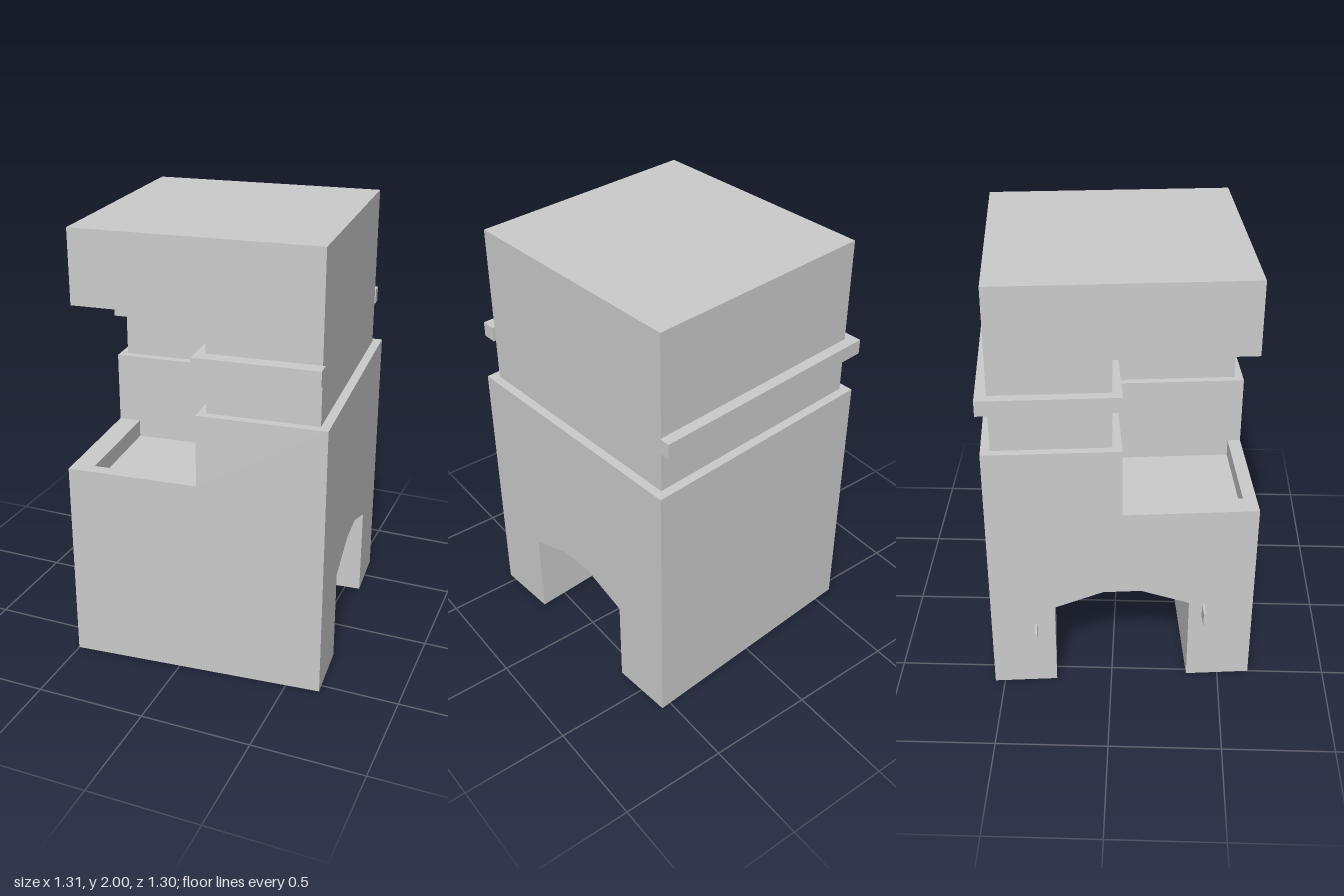
import * as THREE from 'three';

const material = new THREE.MeshStandardMaterial({ color: 0xcccccc, flatShading: true, side: THREE.DoubleSide });

const toShape = (pts) => new THREE.Shape(pts.map(([a, b]) => new THREE.Vector2(a, b)));

function add(group, name, geometry) {
  const mesh = new THREE.Mesh(geometry, material);
  mesh.name = name;
  group.add(mesh);
  return mesh;
}

// Flat wall at a fixed coordinate on one axis; outline is (z,y), (x,z) or (x,y)
function panel(group, name, axis, at, outline) {
  const geometry = new THREE.ShapeGeometry(toShape(outline));
  const p = geometry.attributes.position;
  for (let i = 0; i < p.count; i++) {
    const a = p.getX(i), b = p.getY(i);
    if (axis === 'x') p.setXYZ(i, at, b, a);
    else if (axis === 'y') p.setXYZ(i, a, at, b);
    else p.setXYZ(i, a, b, at);
  }
  geometry.computeVertexNormals();
  return add(group, name, geometry);
}

const rect = (a0, b0, a1, b1) => [[a0, b0], [a1, b0], [a1, b1], [a0, b1]];

// Solid slab with an (x,z) plan between two heights
function slab(group, name, plan, y0, y1) {
  const geometry = new THREE.ExtrudeGeometry(toShape(plan.map(([x, z]) => [x, -z])), { depth: y1 - y0, bevelEnabled: false });
  geometry.rotateX(-Math.PI / 2).translate(0, y0, 0);
  return add(group, name, geometry);
}

function box(group, name, x0, x1, y0, y1, z0, z1) {
  const geometry = new THREE.BoxGeometry(x1 - x0, y1 - y0, z1 - z0);
  geometry.translate((x0 + x1) / 2, (y0 + y1) / 2, (z0 + z1) / 2);
  return add(group, name, geometry);
}

export function createModel() {
  const model = new THREE.Group();
  const tower = new THREE.Group();
  tower.name = 'tower';
  tower.rotation.y = THREE.MathUtils.degToRad(5);
  model.add(tower);

  // Base extents, terrace height and the inner corner of the terrace
  const L = -0.555, R = 0.602, B = -0.596, F = 0.6;
  const top = 1.256, terrace = 0.93, cornerX = 0.037, cornerZ = 0;
  const arch = [[-0.306, 0], [-0.306, 0.43], [-0.086, 0.51], [0.086, 0.51], [0.306, 0.43], [0.306, 0]];

  // Lower storey: open-bottomed shell with a passage running through it
  const base = new THREE.Group();
  base.name = 'base';
  tower.add(base);
  panel(base, 'rightWall', 'x', R, [[B, 0], ...arch, [F, 0], [F, top], [B, top]]);
  panel(base, 'leftWall', 'x', L,
    [[B, 0], ...arch, [F, 0], [F, terrace], [cornerZ, terrace], [cornerZ, top], [B, top]]);
  panel(base, 'backWall', 'z', B, rect(L, 0, R, top));
  panel(base, 'frontWall', 'z', F,
    [[L, 0], [R, 0], [R, top], [cornerX, top], [cornerX, terrace], [L, terrace]]);
  panel(base, 'baseTop', 'y', top,
    [[L, B], [R, B], [R, F], [cornerX, F], [cornerX, cornerZ], [L, cornerZ]]);
  panel(base, 'frontFoot', 'y', 0, rect(L, F - 0.08, R, F));

  // Passage lining
  const lining = [], index = [];
  arch.forEach(([z, y], i) => {
    lining.push(L, y, z, R, y, z);
    if (i) index.push(2 * i - 2, 2 * i - 1, 2 * i, 2 * i - 1, 2 * i + 1, 2 * i);
  });
  const passage = new THREE.BufferGeometry();
  passage.setAttribute('position', new THREE.Float32BufferAttribute(lining, 3));
  passage.setIndex(index);
  passage.computeVertexNormals();
  add(base, 'passage', passage);

  // Terrace: rim around a shallow sunken floor
  const floor = 0.85, inL = L + 0.1, inF = F - 0.06;
  panel(base, 'terraceRim', 'y', terrace,
    [[L, cornerZ], [inL, cornerZ], [inL, inF], [cornerX, inF], [cornerX, F], [L, F]]);
  panel(base, 'terraceFloor', 'y', floor, rect(inL, cornerZ, cornerX, inF));
  panel(base, 'parapetInnerLeft', 'x', inL, rect(cornerZ, floor, inF, terrace));
  panel(base, 'parapetInnerFront', 'z', inF, rect(inL, floor, cornerX, terrace));
  panel(base, 'terraceBackWall', 'z', cornerZ, rect(L, floor, cornerX, top));
  panel(base, 'terraceSideWall', 'x', cornerX, rect(cornerZ, floor, F, top));

  // Upper storey with its overhanging top block
  const uL = -0.52, uR = 0.562, uB = -0.555, uF = 0.561;
  slab(tower, 'upperStorey',
    [[uL, uB], [uR, uB], [uR, uF], [0.071, uF], [0.071, -0.04], [uL, -0.04]], top, 1.67);
  box(tower, 'topBlock', uL, uR, 1.67, 2, uB, uF);

  // Moulding round every side but the right one
  slab(tower, 'moulding', [
    [-0.565, -0.605], [0.567, -0.605], [0.567, uB], [0.5, uB], [0.5, uF],
    [0.573, uF], [0.573, 0.628], [0.03, 0.628], [0.03, 0], [-0.565, 0],
  ], 1.45, 1.52);

  // Small brackets beside the passage
  for (const [y, z] of [[0.265, -0.394], [0.35, 0.372]]) {
    box(tower, 'bracket', -0.623, L, y, y + 0.07, z - 0.005, z + 0.005);
  }
  return model;
}
